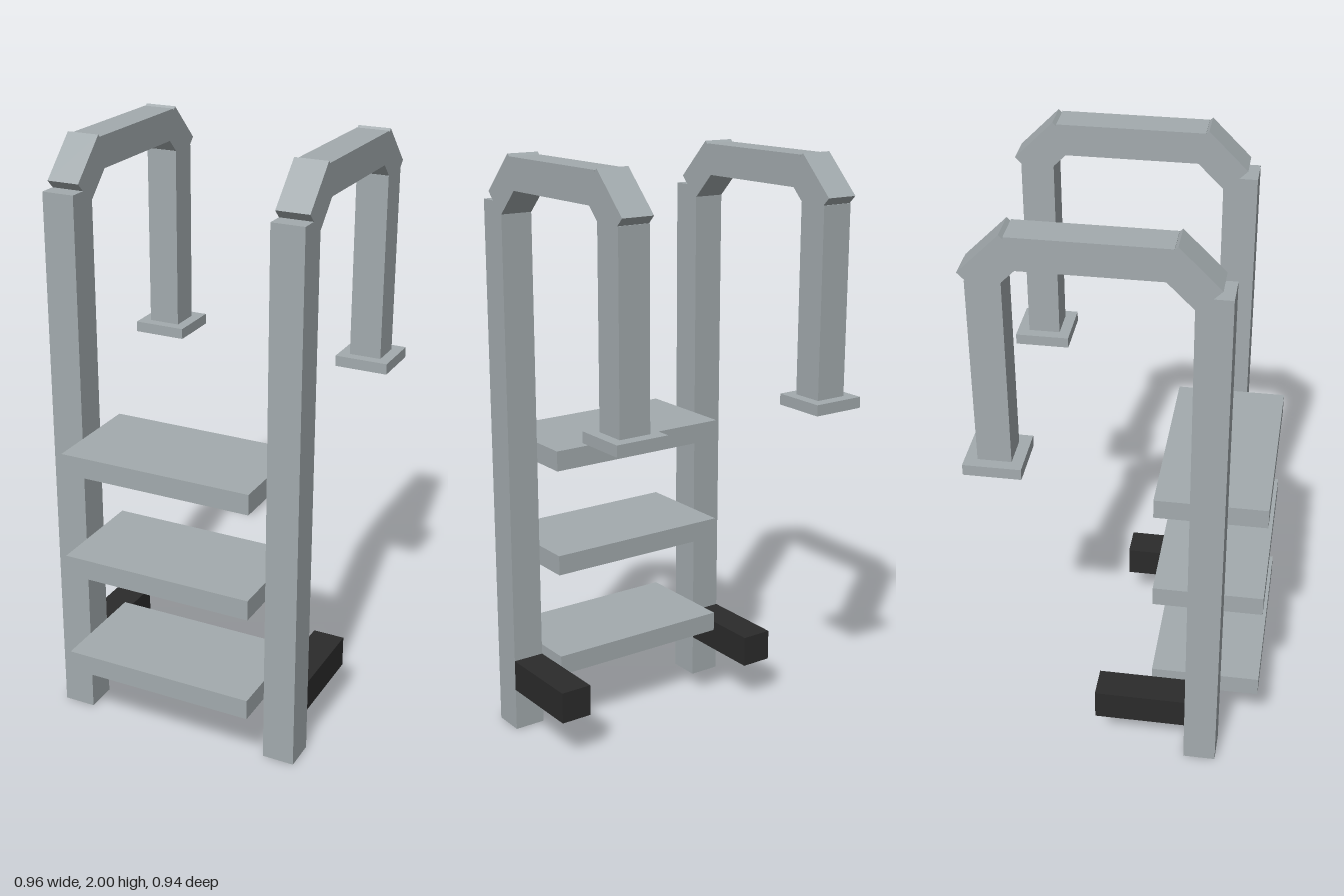
import * as THREE from 'three';

export function createModel() {
  const model = new THREE.Group();
  model.name = 'poolLadder';

  const steel = new THREE.MeshStandardMaterial({ color: 0xa3abae });
  steel.name = 'brushed steel';
  const rubber = new THREE.MeshStandardMaterial({ color: 0x2b2b2b });
  rubber.name = 'black rubber';

  // Box given by its extents on each axis
  function block(parent, name, material, [x0, x1], [y0, y1], [z0, z1]) {
    const mesh = new THREE.Mesh(new THREE.BoxGeometry(x1 - x0, y1 - y0, z1 - z0), material);
    mesh.position.set((x0 + x1) / 2, (y0 + y1) / 2, (z0 + z1) / 2);
    mesh.name = name;
    parent.add(mesh);
    return mesh;
  }

  // Short tube section tilted 45 degrees at a bend of the handrail
  function elbow(parent, name, x, y, z, thickness, angle) {
    const mesh = new THREE.Mesh(new THREE.BoxGeometry(0.11, thickness, 0.181), steel);
    mesh.position.set(x, y, z);
    mesh.rotation.x = angle;
    mesh.name = name;
    parent.add(mesh);
  }

  // Two mirrored side rails
  for (const side of [1, -1]) {
    const rail = new THREE.Group();
    rail.name = side > 0 ? 'leftRail' : 'rightRail';
    const span = (a, b) => (side > 0 ? [a, b] : [-b, -a]);
    const tube = span(0.331, 0.441);

    block(rail, 'frontPost', steel, tube, [0, 1.843], [0.23, 0.34]);
    elbow(rail, 'frontElbow', side * 0.386, 1.898, 0.208, 0.102, Math.PI / 4);
    block(rail, 'handrail', steel, tube, [1.886, 1.99], [-0.31, 0.17]);
    elbow(rail, 'rearElbow', side * 0.386, 1.894, -0.349, 0.106, -Math.PI / 4);
    block(rail, 'rearPost', steel, tube, [1.2, 1.843], [-0.43, -0.323]);
    block(rail, 'mountingPlate', steel, span(0.294, 0.478), [1.18, 1.217], [-0.47, -0.286]);
    block(rail, 'wallBumper', rubber, tube, [0.151, 0.26], [-0.08, 0.23]);
    model.add(rail);
  }

  // Three evenly spaced treads
  for (let i = 0; i < 3; i++) {
    const y = 0.227 + i * 0.368;
    block(model, `tread${i + 1}`, steel, [-0.331, 0.331], [y, y + 0.069], [0.102, 0.47]);
  }

  return model;
}
